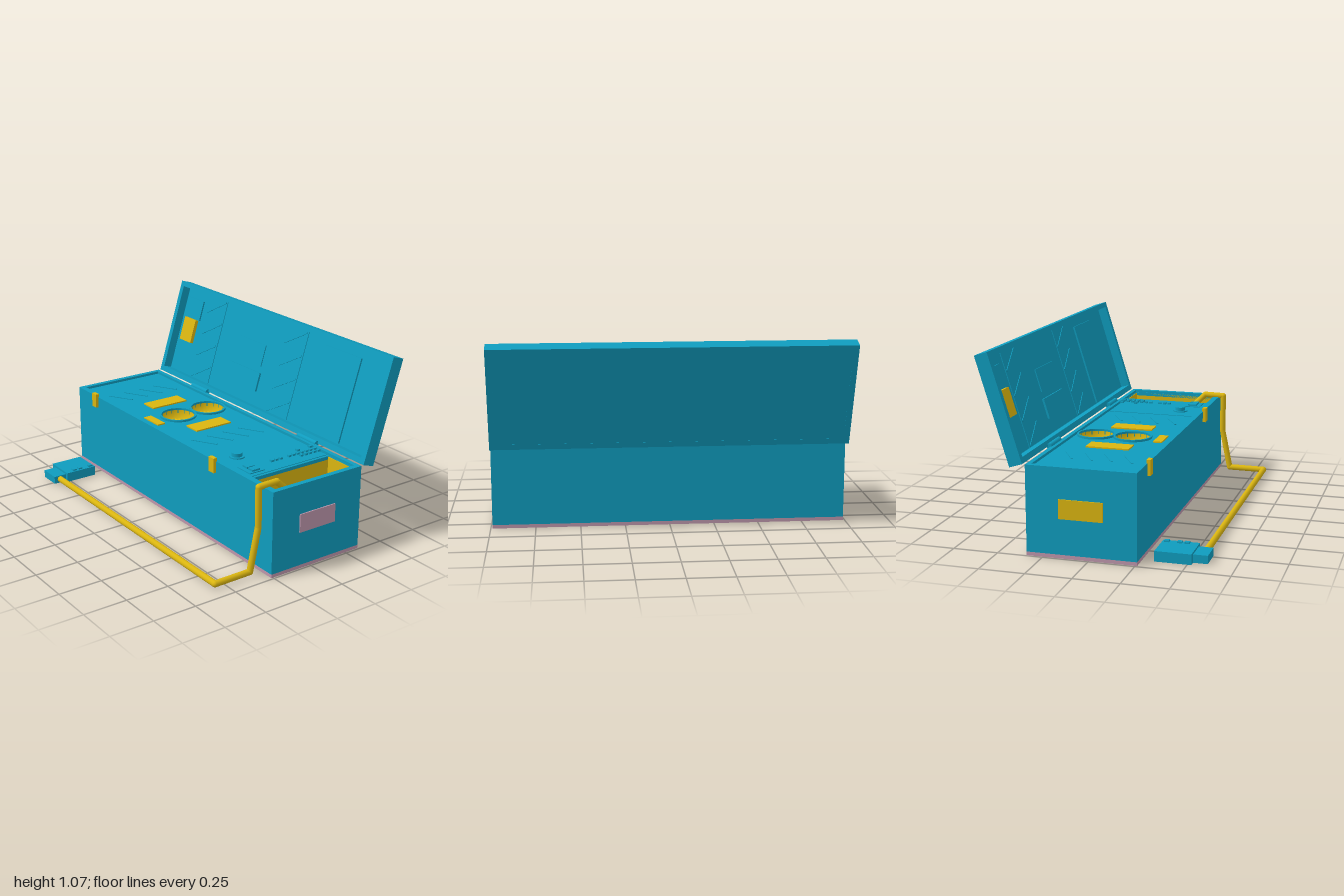
import * as THREE from 'three';

const mat = (name, color, side = THREE.FrontSide) => {
  const m = new THREE.MeshStandardMaterial({ color, side });
  m.name = name;
  return m;
};

export function createModel() {
  const teal = mat('teal', 0x0f9cbe);
  const yellow = mat('yellow', 0xdab510);
  const pink = mat('pink', 0xbd96ac);
  const root = new THREE.Group();
  root.name = 'openCase';

  const add = (parent, name, geo, material, x = 0, y = 0, z = 0) => {
    const m = new THREE.Mesh(geo, material);
    m.name = name;
    m.position.set(x, y, z);
    parent.add(m);
    return m;
  };
  // box given by its limits on each axis
  const box = (parent, name, material, x0, x1, y0, y1, z0, z1) =>
    add(parent, name, new THREE.BoxGeometry(x1 - x0, y1 - y0, z1 - z0), material,
      (x0 + x1) / 2, (y0 + y1) / 2, (z0 + z1) / 2);
  const rect = (C, x0, x1, y0, y1) => {
    const s = new C();
    s.moveTo(x0, y0).lineTo(x1, y0).lineTo(x1, y1).lineTo(x0, y1).closePath();
    return s;
  };
  const circleHole = (x, y, r) => new THREE.Path().absarc(x, y, r, 0, Math.PI * 2, true);
  const extrude = (shape, holes, depth) => {
    shape.holes.push(...holes);
    return new THREE.ExtrudeGeometry(shape, { depth, bevelEnabled: false, curveSegments: 24 });
  };
  // extrusion standing upwards; its outline is drawn in x and z
  const slab = (x0, x1, z0, z1, holes, depth) =>
    extrude(rect(THREE.Shape, x0, x1, -z1, -z0), holes, depth).rotateX(-Math.PI / 2);
  const hole = (x0, x1, z0, z1) => rect(THREE.Path, x0, x1, -z1, -z0);

  // --- case body, base and recessed deck ---
  const wells = [-0.2, 0.015], wellX = -0.235, deckY = 0.475;
  box(root, 'base', pink, -0.99, 0.99, 0, 0.02, -0.34, 0.26);
  add(root, 'caseWalls', slab(-0.99, 0.99, -0.34, 0.26, [hole(-0.96, 0.96, -0.315, 0.225)], 0.47),
    teal, 0, 0.02, 0);
  add(root, 'deck', slab(-0.96, 0.96, -0.315, 0.225,
    [hole(0.757, 0.957, -0.312, 0.222), ...wells.map(z => circleHole(wellX, -z, 0.1))], 0.02),
  teal, 0, deckY - 0.02, 0);

  // --- open compartment ---
  add(root, 'compartmentLiner', slab(0.75, 0.96, -0.315, 0.225,
    [hole(0.757, 0.957, -0.308, 0.221)], 0.45), yellow, 0, 0.021, 0);
  box(root, 'compartmentFloor', pink, 0.757, 0.957, 0.02, 0.026, -0.308, 0.221);

  // --- round wells with slatted floors ---
  for (const z of wells) {
    const well = new THREE.Group();
    well.name = 'well';
    well.position.set(wellX, deckY, z);
    root.add(well);
    const ring = new THREE.Shape().absarc(0, 0, 0.11, 0, Math.PI * 2, false);
    add(well, 'wellRing', extrude(ring, [circleHole(0, 0, 0.099)], 0.012).rotateX(-Math.PI / 2), teal);
    const bowl = [[0, -0.07], [0.1, -0.07], [0.1, 0.006], [0.103, 0.006], [0.103, -0.074], [0, -0.074]]
      .map(p => new THREE.Vector2(...p)).reverse();
    const bowlMesh = add(well, 'wellBowl', new THREE.LatheGeometry(bowl, 32), yellow);
    bowlMesh.material = wellYellow();
    for (let i = -4; i <= 4; i++) {
      const dz = i * 0.02, half = Math.sqrt(0.098 ** 2 - dz * dz);
      const slat = add(well, 'slat', new THREE.CylinderGeometry(0.009, 0.009, half * 2, 10), yellow, 0, -0.062, dz);
      slat.rotation.z = Math.PI / 2;
    }
    add(well, 'hub', new THREE.CylinderGeometry(0.014, 0.014, 0.025, 16), yellow, 0, -0.052, 0);
    box(well, 'hubTab', yellow, -0.014, 0.014, -0.065, -0.042, 0.05, 0.08);
  }
  function wellYellow() {
    yellow.side = THREE.DoubleSide;
    return yellow;
  }

  // --- yellow plates on the deck ---
  for (const [x0, x1, z0, z1] of [[-0.52, -0.415, -0.17, 0.075], [-0.06, 0.045, -0.17, 0.075],
    [-0.315, -0.165, 0.155, 0.205]])
    box(root, 'deckPlate', yellow, x0, x1, deckY, deckY + 0.008, z0, z1);

  // --- slanted ribs on the deck ---
  for (const cx of [-0.7, 0.2])
    for (let i = 0; i < 4; i++) {
      const rib = add(root, 'deckRib', new THREE.BoxGeometry(0.16, 0.004, 0.012), teal,
        cx, deckY + 0.002, -0.2 + i * 0.11);
      rib.rotation.y = Math.PI / 6;
    }

  // --- controls ---
  box(root, 'controlPanel', teal, 0.36, 0.74, deckY, deckY + 0.003, -0.31, 0.22);
  add(root, 'knobCollar', new THREE.CylinderGeometry(0.044, 0.044, 0.01, 24), teal, 0.48, deckY + 0.005, 0.11);
  add(root, 'knob', new THREE.CylinderGeometry(0.03, 0.03, 0.03, 24), teal, 0.48, deckY + 0.015, 0.11);
  box(root, 'switchPlate', teal, 0.605, 0.715, deckY, deckY + 0.008, 0.1, 0.2);
  for (const x of [0.637, 0.685]) box(root, 'switch', teal, x - 0.02, x + 0.02, deckY, deckY + 0.018, 0.125, 0.175);
  const key = (x, z) => box(root, 'key', teal, x - 0.009, x + 0.009, deckY, deckY + 0.014, z - 0.009, z + 0.009);
  for (let i = 0; i < 11; i++) {
    const z = -0.305 + i * 0.03;
    if (i !== 7) key(0.643, z);
    if (i < 5) key(0.675, z);
    if (i === 0 || i === 3) key(0.605, z);
  }

  // --- latches, side handles and hinges ---
  for (const x of [-0.777, 0.47]) box(root, 'latch', yellow, x - 0.023, x + 0.023, 0.425, 0.51, 0.255, 0.278);
  box(root, 'leftSidePlate', pink, 0.985, 0.997, 0.215, 0.32, -0.16, 0.08);
  box(root, 'rightSidePlate', yellow, -0.997, -0.985, 0.215, 0.32, -0.16, 0.08);
  for (const x of [-0.525, 0.53]) {
    const h = add(root, 'hinge', new THREE.CylinderGeometry(0.016, 0.016, 0.16, 16), teal, x, 0.49, -0.35);
    h.rotation.z = Math.PI / 2;
  }

  // --- lid: rim, back and inner details, built upright then tilted ---
  const lid = new THREE.Group();
  lid.name = 'lid';
  lid.position.set(0, 0.49, -0.355);
  lid.rotation.x = -0.3;
  root.add(lid);
  const panelZ = -0.055;
  add(lid, 'lidRim', extrude(rect(THREE.Shape, -0.99, 0.99, 0, 0.602),
    [rect(THREE.Path, -0.958, 0.958, 0.032, 0.572)], 0.074), teal, 0, 0, -0.074);
  box(lid, 'lidPanel', teal, -0.97, 0.97, 0.02, 0.585, -0.0735, panelZ);
  for (const [x0, x1, y0, y1, t] of [[-0.93, -0.77, 0.39, 0.515, 0.01], [-0.37, -0.065, 0.115, 0.23, 0.012],
    [-0.35, -0.08, 0.27, 0.4, 0.006], [0.42, 0.72, 0.04, 0.53, 0.01]])
    box(lid, 'lidPocket', teal, x0, x1, y0, y1, panelZ, panelZ + t);
  box(lid, 'lidPad', yellow, -0.91, -0.79, 0.235, 0.385, panelZ, panelZ + 0.022);
  for (const x of [-0.63, 0.16]) {
    box(lid, 'lidStrip', teal, x - 0.095, x + 0.095, 0.034, 0.57, panelZ, panelZ + 0.004);
    for (let i = 0; i < 4; i++) {
      const rib = add(lid, 'lidRib', new THREE.BoxGeometry(0.2, 0.01, 0.006), teal,
        x, 0.09 + i * 0.14, panelZ + 0.005);
      rib.rotation.z = Math.PI / 6;
    }
  }

  // --- hose: straight runs with round joints ---
  const path = [[0.905, 0.4, 0.07], [0.905, 0.5, 0.17], [0.905, 0.497, 0.288], [0.905, 0.27, 0.287],
    [0.905, 0.025, 0.338], [0.905, 0.024, 0.562], [-0.74, 0.024, 0.562]].map(p => new THREE.Vector3(...p));
  const up = new THREE.Vector3(0, 1, 0), r = 0.018;
  path.slice(1).forEach((b, i) => {
    const a = path[i], d = b.clone().sub(a);
    const run = add(root, 'hoseRun', new THREE.CylinderGeometry(r, r, d.length(), 16), yellow);
    run.position.copy(a).addScaledVector(d, 0.5);
    run.quaternion.setFromUnitVectors(up, d.normalize());
    add(root, 'hoseJoint', new THREE.SphereGeometry(r, 16, 12), yellow, b.x, b.y, b.z);
  });

  // --- hand unit at the end of the hose ---
  box(root, 'handUnit', teal, -0.9, -0.713, 0, 0.057, 0.325, 0.522);
  box(root, 'handUnitConnector', teal, -0.863, -0.733, 0, 0.045, 0.52, 0.6);
  for (const z of [0.35, 0.42, 0.46]) box(root, 'handUnitButton', teal, -0.748, -0.724, 0.05, 0.066, z - 0.013, z + 0.013);

  return root;
}
